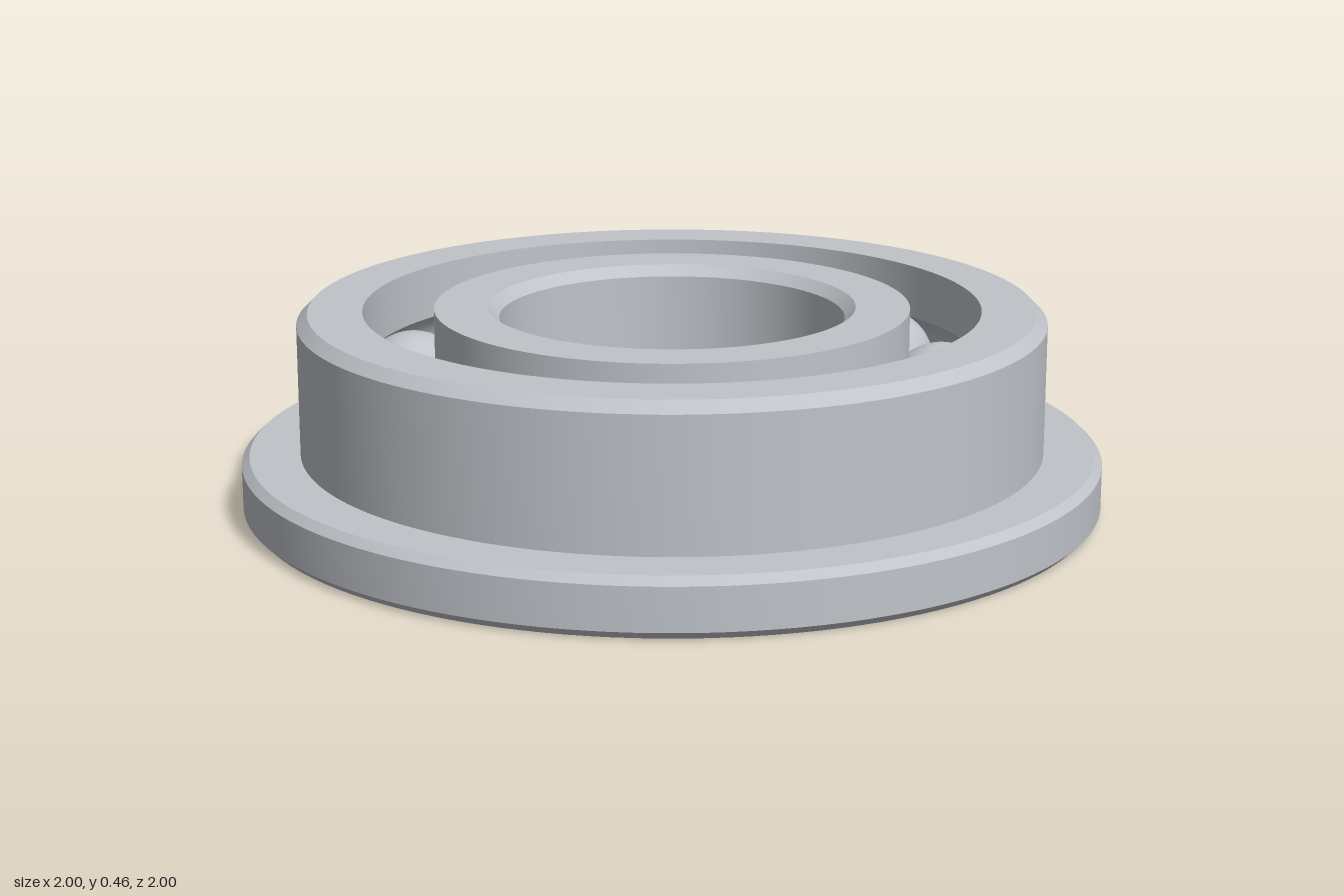
import * as THREE from 'three';
import { toCreasedNormals } from 'three/addons/utils/BufferGeometryUtils.js';

const HEIGHT = 0.464, MID = HEIGHT / 2;
const PITCH = 0.633, BALL = 0.13, BALLS = 11;
const BORE = 0.4, INNER = 0.55, OUTER = 0.714, BODY = 0.865, FLANGE = 1;
const FLANGE_TOP = 0.135;

// Arc of the ball groove where it cuts the wall at radius r; dir is +1 going up, -1 going down
function groove(r, dir) {
  const side = Math.sign(r - PITCH);
  const radius = BALL + 0.002;
  const half = Math.acos(Math.abs(r - PITCH) / radius);
  const points = [];
  for (let i = 0; i <= 12; i++) {
    const a = dir * half * (i / 6 - 1);
    points.push([PITCH + side * radius * Math.cos(a), MID + radius * Math.sin(a)]);
  }
  return points;
}

// Closed profile, listed counterclockwise, turned about the y axis
function ring(name, profile, material) {
  const points = [...profile, profile[0]].map(([x, y]) => new THREE.Vector2(x, y));
  const geometry = toCreasedNormals(new THREE.LatheGeometry(points, 128), 0.5);
  const mesh = new THREE.Mesh(geometry, material);
  mesh.name = name;
  return mesh;
}

export function createModel() {
  const model = new THREE.Group();
  model.name = 'flangedBallBearing';
  const steel = new THREE.MeshStandardMaterial({ color: 0xc0c4ca });
  steel.name = 'steel';

  // Outer ring with chamfered flange and raceway
  const f = 0.018, c = 0.025;
  model.add(ring('outerRing', [
    [OUTER, 0], [FLANGE - f, 0], [FLANGE, f],
    [FLANGE, FLANGE_TOP - f], [FLANGE - f, FLANGE_TOP], [BODY, FLANGE_TOP],
    [BODY, HEIGHT - c], [BODY - c, HEIGHT], [OUTER, HEIGHT],
    ...groove(OUTER, -1),
  ], steel));

  // Inner ring with chamfered bore and raceway
  model.add(ring('innerRing', [
    [BORE + c, 0], [INNER, 0],
    ...groove(INNER, 1),
    [INNER, HEIGHT], [BORE + c, HEIGHT], [BORE, HEIGHT - c], [BORE, c],
  ], steel));

  // Evenly spaced balls
  const balls = new THREE.Group();
  balls.name = 'balls';
  const ballGeometry = new THREE.SphereGeometry(BALL, 40, 24);
  for (let i = 0; i < BALLS; i++) {
    const a = (i / BALLS) * Math.PI * 2;
    const ball = new THREE.Mesh(ballGeometry, steel);
    ball.name = 'ball';
    ball.position.set(PITCH * Math.cos(a), MID, PITCH * Math.sin(a));
    balls.add(ball);
  }
  model.add(balls);
  return model;
}
